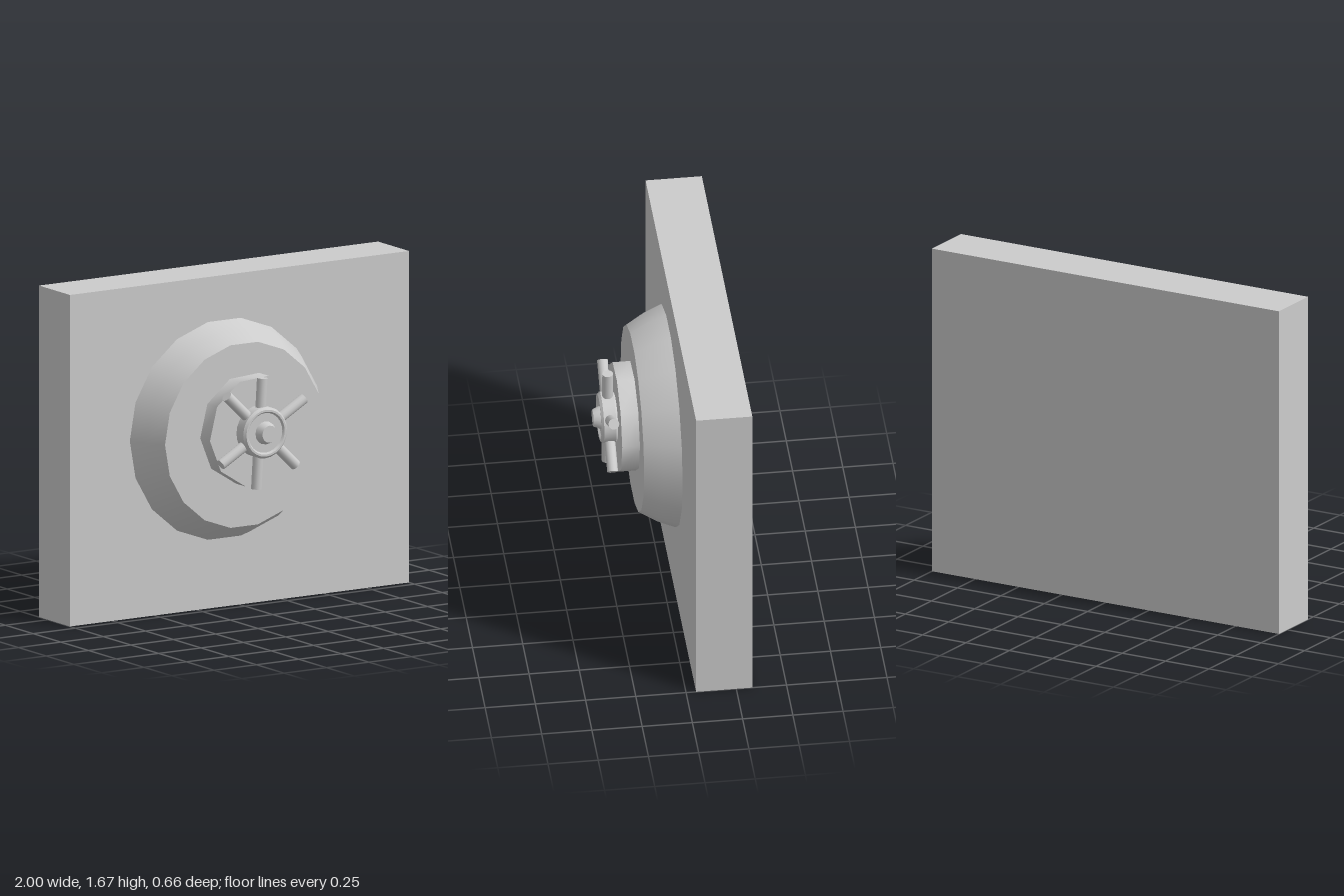
import * as THREE from 'three';
import { toCreasedNormals } from 'three/addons/utils/BufferGeometryUtils.js';

const material = new THREE.MeshStandardMaterial({ color: 0xcccccc });

function addMesh(parent, name, geometry) {
  const mesh = new THREE.Mesh(geometry, material);
  mesh.name = name;
  parent.add(mesh);
  return mesh;
}

// Solid of revolution about the z axis; profile is [radius, z] from back to front.
// The turn sets the angle of the first corner, in degrees.
function turned(profile, sides, turn = 0) {
  const points = profile.map(([r, z]) => new THREE.Vector2(r, z));
  const start = Math.PI / 2 + THREE.MathUtils.degToRad(turn);
  const geometry = new THREE.LatheGeometry(points, sides, start).rotateX(Math.PI / 2);
  return toCreasedNormals(geometry, 0.68);
}

export function createModel() {
  const model = new THREE.Group();
  model.name = 'wallWithHandwheel';

  // Wall slab
  addMesh(model, 'wall', new THREE.BoxGeometry(2, 1.67, 0.28)).position.set(0, 0.835, -0.19);

  // Domed boss standing out of the wall
  addMesh(model, 'boss', turned(
    [[0, -0.06], [0.557, -0.05], [0.52, 0.04], [0.467, 0.13], [0, 0.13]], 18
  )).position.set(-0.09, 0.895, 0);

  // Flat plate behind the wheel
  addMesh(model, 'plate', turned(
    [[0, 0.12], [0.28, 0.12], [0.28, 0.218], [0, 0.218]], 10, 4
  )).position.set(-0.07, 0.926, 0);

  // Handwheel: hub with a raised rim, centre knob and three crossing rods
  const wheel = new THREE.Group();
  wheel.name = 'handwheel';
  model.add(wheel);

  addMesh(wheel, 'hub', turned([
    [0, 0.216], [0.118, 0.216], [0.129, 0.227], [0.129, 0.288], [0.118, 0.3],
    [0.108, 0.3], [0.1, 0.29], [0, 0.29]
  ], 24)).position.set(-0.07, 0.93, 0);

  addMesh(wheel, 'knob', turned(
    [[0, 0.28], [0.06, 0.28], [0.056, 0.3], [0.043, 0.33], [0, 0.33]], 16
  )).position.set(-0.07, 0.93, 0);

  const rods = [
    [-0.1, 0.645, -0.065, 1.2],
    [-0.31, 0.79, 0.18, 1.07],
    [-0.275, 1.13, 0.13, 0.74]
  ];
  for (const [x1, y1, x2, y2] of rods) {
    const length = Math.hypot(x2 - x1, y2 - y1);
    const rod = addMesh(wheel, 'spokeRod', new THREE.CylinderGeometry(0.027, 0.027, length, 14));
    rod.position.set((x1 + x2) / 2, (y1 + y2) / 2, 0.256);
    rod.rotation.z = Math.atan2(y2 - y1, x2 - x1) - Math.PI / 2;
  }

  return model;
}
